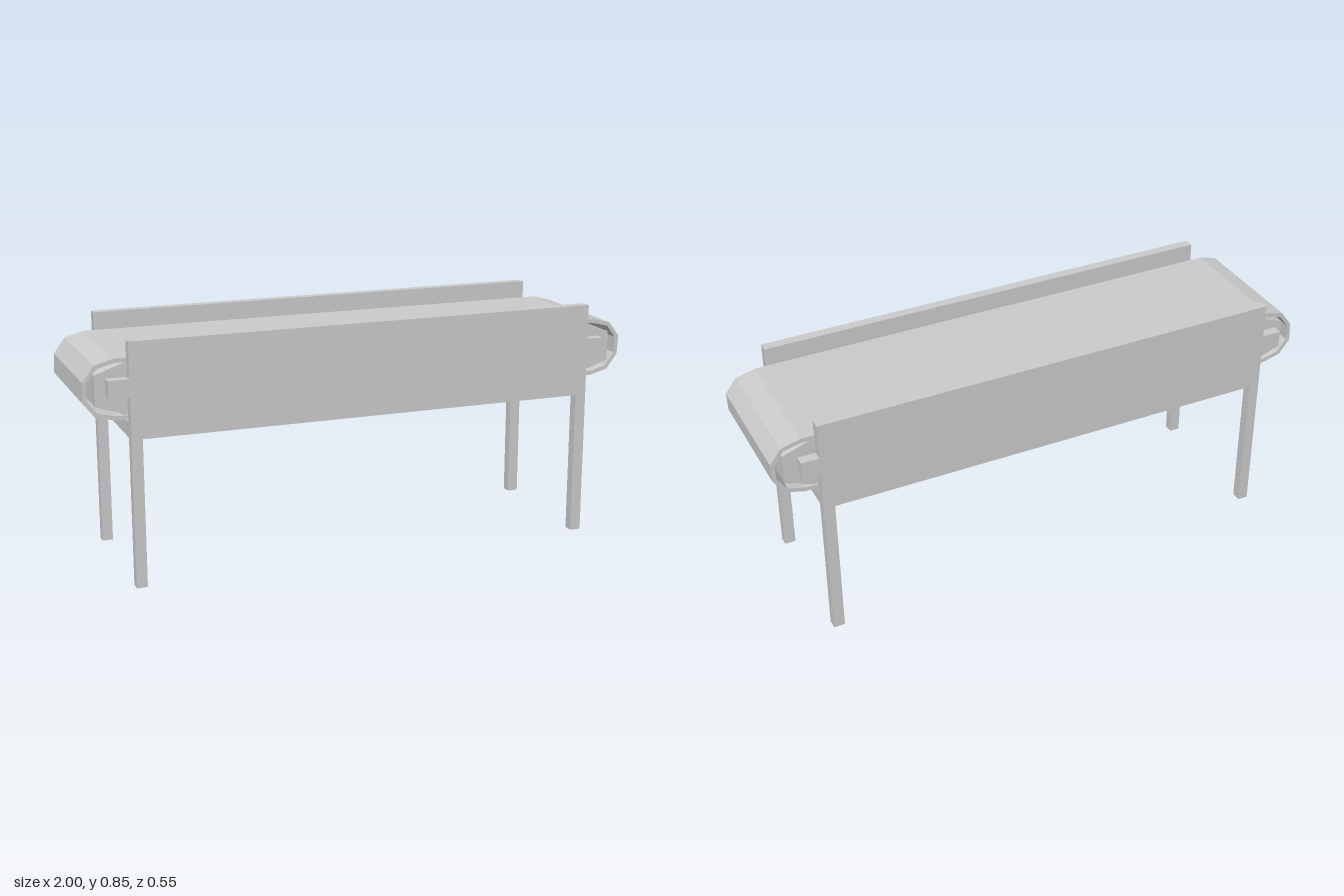
import * as THREE from 'three';

export function createModel() {
  const model = new THREE.Group();
  const material = new THREE.MeshStandardMaterial({ color: 0xcccccc, flatShading: true });

  function add(name, geometry) {
    const mesh = new THREE.Mesh(geometry, material);
    mesh.name = name;
    model.add(mesh);
  }

  // Box given by its limits on each axis
  function box(name, x0, x1, y0, y1, z0, z1) {
    const g = new THREE.BoxGeometry(x1 - x0, y1 - y0, z1 - z0);
    g.translate((x0 + x1) / 2, (y0 + y1) / 2, (z0 + z1) / 2);
    add(name, g);
  }

  // Outline in x and y, pushed from z0 to z1
  function prism(name, shape, z0, z1) {
    const g = new THREE.ExtrudeGeometry(shape, { depth: z1 - z0, bevelEnabled: false });
    g.translate(0, 0, z0);
    add(name, g);
  }

  // Closed loop from the points of the right end, turned half round for the left
  const midY = 0.685;
  const loop = (end) => [...end, ...end.map(([x, y]) => [-x, 2 * midY - y])]
    .map(([x, y]) => new THREE.Vector2(x, y));

  // Frame: side walls with bearing tabs, legs and floor
  for (const s of [-1, 1]) {
    const z0 = s > 0 ? 0.238 : -0.274;
    const z1 = z0 + 0.036;
    box('sideWall', -0.85, 0.847, 0.52, 0.852, z0, z1);
    box('leftBearingTab', 0.847, 0.91, 0.665, 0.727, z0, z1);
    box('rightBearingTab', -0.922, -0.85, 0.665, 0.727, z0, z1);
    box('leftLeg', 0.807, 0.847, 0, 0.52, z0, z1);
    box('rightLeg', -0.85, -0.812, 0, 0.52, z0, z1);
  }
  box('floorPlate', -0.85, 0.847, 0.52, 0.573, -0.238, 0.238);

  // Hollow faceted belt
  const belt = new THREE.Shape(loop([
    [0.89, 0.58], [0.957, 0.598], [0.997, 0.653], [1, 0.72], [0.96, 0.772], [0.89, 0.79],
  ]));
  belt.holes.push(new THREE.Path(loop([
    [0.888, 0.595], [0.949, 0.611], [0.983, 0.657], [0.985, 0.715], [0.951, 0.76], [0.888, 0.775],
  ])));
  prism('belt', belt, -0.231, 0.232);

  // Six-sided end rollers
  for (const s of [-1, 1]) {
    const roller = new THREE.Shape([
      [0.957, 0.632], [0.957, 0.738], [0.855, 0.774], [0.755, 0.738], [0.755, 0.632], [0.855, 0.596],
    ].map(([x, y]) => new THREE.Vector2(s * x, y)));
    prism(s > 0 ? 'leftRoller' : 'rightRoller', roller, -0.228, 0.229);
  }

  return model;
}
